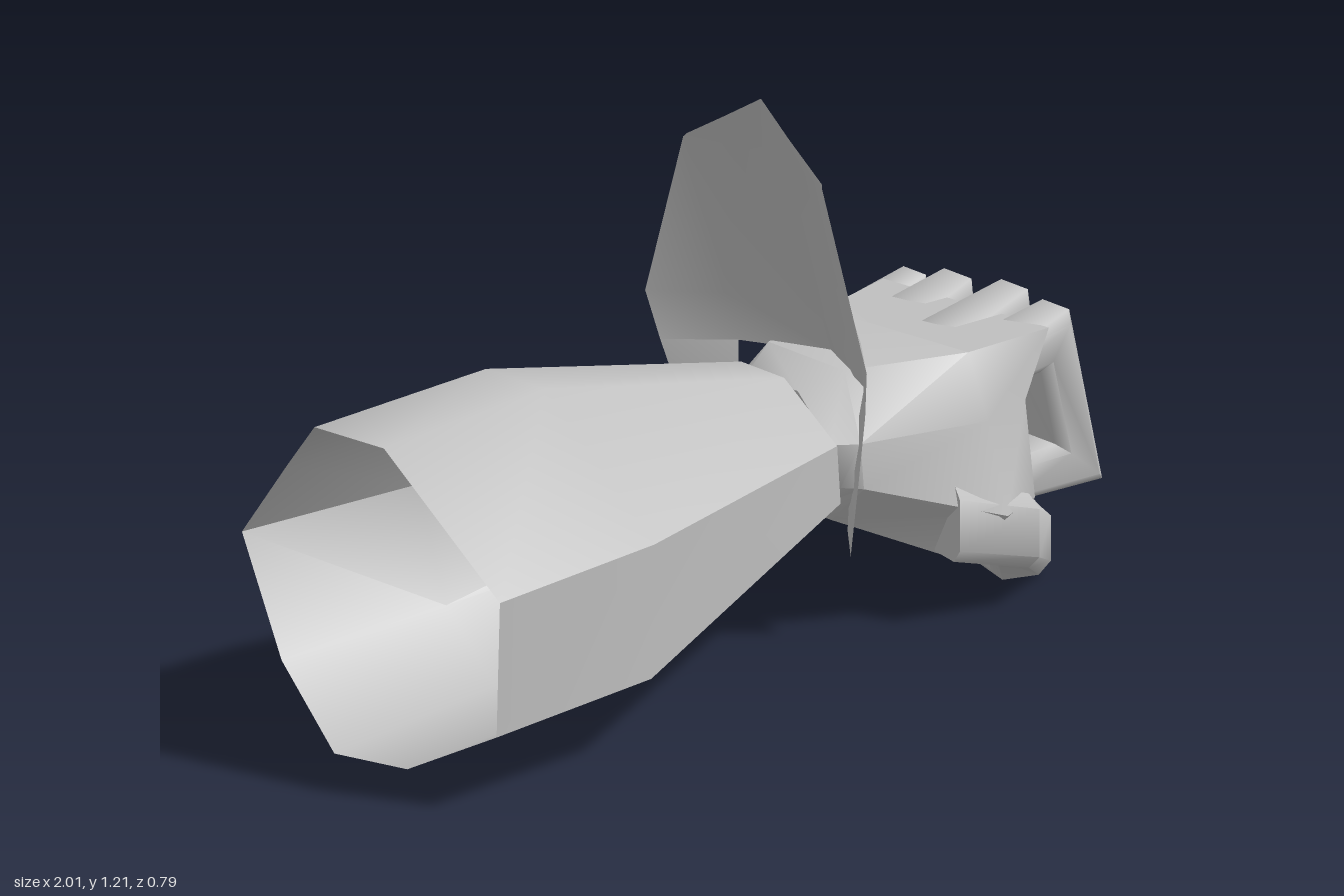
import * as THREE from 'three';
import { toCreasedNormals } from 'three/addons/utils/BufferGeometryUtils.js';

// Skin a list of cross-sections; rings may be closed loops or open rows
function loft(rings, { closed = true, capStart = false, capEnd = false, crease = 0.8 } = {}) {
  const n = rings[0].length, pos = rings.flat(2), idx = [];
  for (let i = 0; i < rings.length - 1; i++) {
    for (let j = 0; j < (closed ? n : n - 1); j++) {
      const k = (j + 1) % n;
      const a = i * n + j, b = i * n + k, c = a + n, d = b + n;
      idx.push(a, b, c, b, d, c);
    }
  }
  const cap = (row, flip) => {
    const centre = [0, 1, 2].map(k => rings[row].reduce((s, p) => s + p[k], 0) / n);
    const m = pos.length / 3;
    pos.push(...centre);
    for (let j = 0; j < n; j++) {
      const a = row * n + j, b = row * n + (j + 1) % n;
      idx.push(m, flip ? b : a, flip ? a : b);
    }
  };
  if (capStart) cap(0, true);
  if (capEnd) cap(rings.length - 1, false);
  const g = new THREE.BufferGeometry();
  g.setAttribute('position', new THREE.Float32BufferAttribute(pos, 3));
  g.setIndex(idx);
  return toCreasedNormals(g, crease);
}

// Sweep a softened rectangle along path points [x, y, z, sideRadius, thickness]
function sweep(path, side) {
  const outline = [[1, 0.6], [0.65, 1], [-0.65, 1], [-1, 0.6], [-1, -0.6], [-0.65, -1], [0.65, -1], [1, -0.6]];
  const pts = path.map(p => new THREE.Vector3(p[0], p[1], p[2]));
  const rings = pts.map((p, i) => {
    const before = pts[i].clone().sub(pts[Math.max(i - 1, 0)]).normalize();
    const after = pts[Math.min(i + 1, pts.length - 1)].clone().sub(pts[i]).normalize();
    const t = before.clone().add(after).normalize();
    const mitre = 1 / Math.max(0.6, t.dot(i ? before : after));
    const normal = t.clone().cross(side).normalize();
    return outline.map(([u, v]) => p.clone()
      .addScaledVector(side, u * path[i][3])
      .addScaledVector(normal, v * path[i][4] * mitre).toArray());
  });
  return loft(rings, { capStart: true, capEnd: true, crease: 0.9 });
}

export function createModel() {
  const model = new THREE.Group();
  const grey = new THREE.MeshStandardMaterial({ color: 0xc0c0c0, side: THREE.DoubleSide });
  grey.name = 'plain grey';
  const add = (name, geometry) => {
    const mesh = new THREE.Mesh(geometry, grey);
    mesh.name = name;
    model.add(mesh);
  };

  // Forearm sleeve, open at the elbow with an uneven rim
  add('forearm', loft([
    [[-0.98, 0.76, 0.06], [-0.95, 0.49, 0.38], [-0.95, 0.18, 0.37], [-0.95, 0.03, 0.1], [-0.98, 0.02, -0.09],
      [-0.95, 0.17, -0.28], [-0.95, 0.43, -0.4], [-0.935, 0.61, -0.28], [-1, 0.76, -0.13]],
    [[-0.5, 0.76, 0.06], [-0.5, 0.5, 0.39], [-0.5, 0.19, 0.38], [-0.5, 0.04, 0.1], [-0.5, 0.04, -0.09],
      [-0.5, 0.18, -0.24], [-0.5, 0.43, -0.33], [-0.5, 0.61, -0.24], [-0.5, 0.755, -0.12]],
    [[0.22, 0.58, 0.05], [0.22, 0.47, 0.21], [0.24, 0.33, 0.2], [0.26, 0.26, 0.06], [0.26, 0.27, -0.05],
      [0.25, 0.31, -0.15], [0.22, 0.42, -0.21], [0.22, 0.5, -0.17], [0.22, 0.58, -0.08]],
  ]));

  // Tall pointed cuff plate, bowed toward the hand
  const plateRow = (y, edgeZ, edgeX, midZ, midX, ridgeX) => [
    [edgeX, y, edgeZ], [midX, y, midZ], [ridgeX, y, 0], [midX, y, -midZ], [edgeX, y, -edgeZ]];
  add('cuffPlate', loft([
    [[0.175, 1.08, 0.21], [0.184, 1.15, 0.1], [0.19, 1.215, 0.01], [0.184, 1.15, -0.09], [0.175, 1.08, -0.2]],
    plateRow(1.07, 0.21, 0.175, 0.11, 0.215, 0.235),
    plateRow(0.68, 0.335, 0.185, 0.2, 0.3, 0.375),
    plateRow(0.57, 0.31, 0.205, 0.19, 0.32, 0.41),
  ], { closed: false }));

  // Tapering wings of the cuff, running down both sides of the wrist
  for (const s of [1, -1]) {
    const rows = [
      [[0.205, 0.57, 0.31], [0.32, 0.57, 0.19]],
      [[0.235, 0.4, 0.26], [0.3, 0.4, 0.17]],
      [[0.27, 0.2, 0.2], [0.3, 0.24, 0.16]],
    ].map(row => row.map(([x, y, z]) => [x, y, z * s]));
    add(s > 0 ? 'cuffWingFront' : 'cuffWingBack',
      loft(s > 0 ? rows : rows.map(r => r.reverse()), { closed: false }));
  }

  // Palm and back of the hand, widening from wrist to knuckles
  add('palm', loft([
    [[0.24, 0.55, 0.07], [0.23, 0.46, 0.18], [0.25, 0.36, 0.19], [0.27, 0.28, 0.08],
      [0.27, 0.28, -0.08], [0.25, 0.35, -0.17], [0.23, 0.45, -0.18], [0.24, 0.55, -0.08]],
    [[0.34, 0.58, 0.11], [0.28, 0.46, 0.22], [0.28, 0.36, 0.23], [0.3, 0.25, 0.11],
      [0.3, 0.25, -0.1], [0.28, 0.34, -0.19], [0.28, 0.45, -0.2], [0.34, 0.58, -0.12]],
    [[0.6, 0.58, 0.22], [0.6, 0.44, 0.28], [0.6, 0.24, 0.34], [0.58, 0.11, 0.24],
      [0.58, 0.13, -0.08], [0.58, 0.24, -0.24], [0.57, 0.43, -0.29], [0.57, 0.57, -0.19]],
    [[0.82, 0.58, 0.24], [0.74, 0.44, 0.25], [0.7, 0.25, 0.32], [0.69, 0.12, 0.26],
      [0.66, 0.17, -0.08], [0.66, 0.26, -0.24], [0.69, 0.43, -0.32], [0.8, 0.56, -0.24]],
  ], { capStart: true, capEnd: true }));

  // Four curled fingers: z centre, half width, knuckle x, knuckle y, bend x, bend y
  const fingers = [
    ['indexFinger', 0.172, 0.062, 0.865, 0.53, 0.935, 0.235],
    ['middleFinger', 0.048, 0.062, 0.86, 0.54, 0.91, 0.21],
    ['ringFinger', -0.105, 0.064, 0.84, 0.525, 0.87, 0.265],
    ['littleFinger', -0.225, 0.052, 0.83, 0.5, 0.855, 0.295],
  ];
  for (const [name, z, w, kx, ky, bx, by] of fingers) {
    add(name, sweep([
      [0.66, ky - 0.02, z, w, 0.05],
      [kx, ky, z, w, 0.055],
      [bx, by, z, w, 0.055],
      [bx - 0.18, by + 0.01, z, w * 0.95, 0.05],
      [bx - 0.21, by + 0.12, z, w * 0.85, 0.035],
    ], new THREE.Vector3(0, 0, 1)));
  }

  // Thumb folded across beneath the fingers
  add('thumb', sweep([
    [0.5, 0.24, 0.25, 0.09, 0.06],
    [0.67, 0.18, 0.285, 0.085, 0.06],
    [0.785, 0.085, 0.19, 0.08, 0.06],
    [0.79, 0.09, -0.01, 0.05, 0.05],
  ], new THREE.Vector3(0, 1, 0)));

  return model;
}
